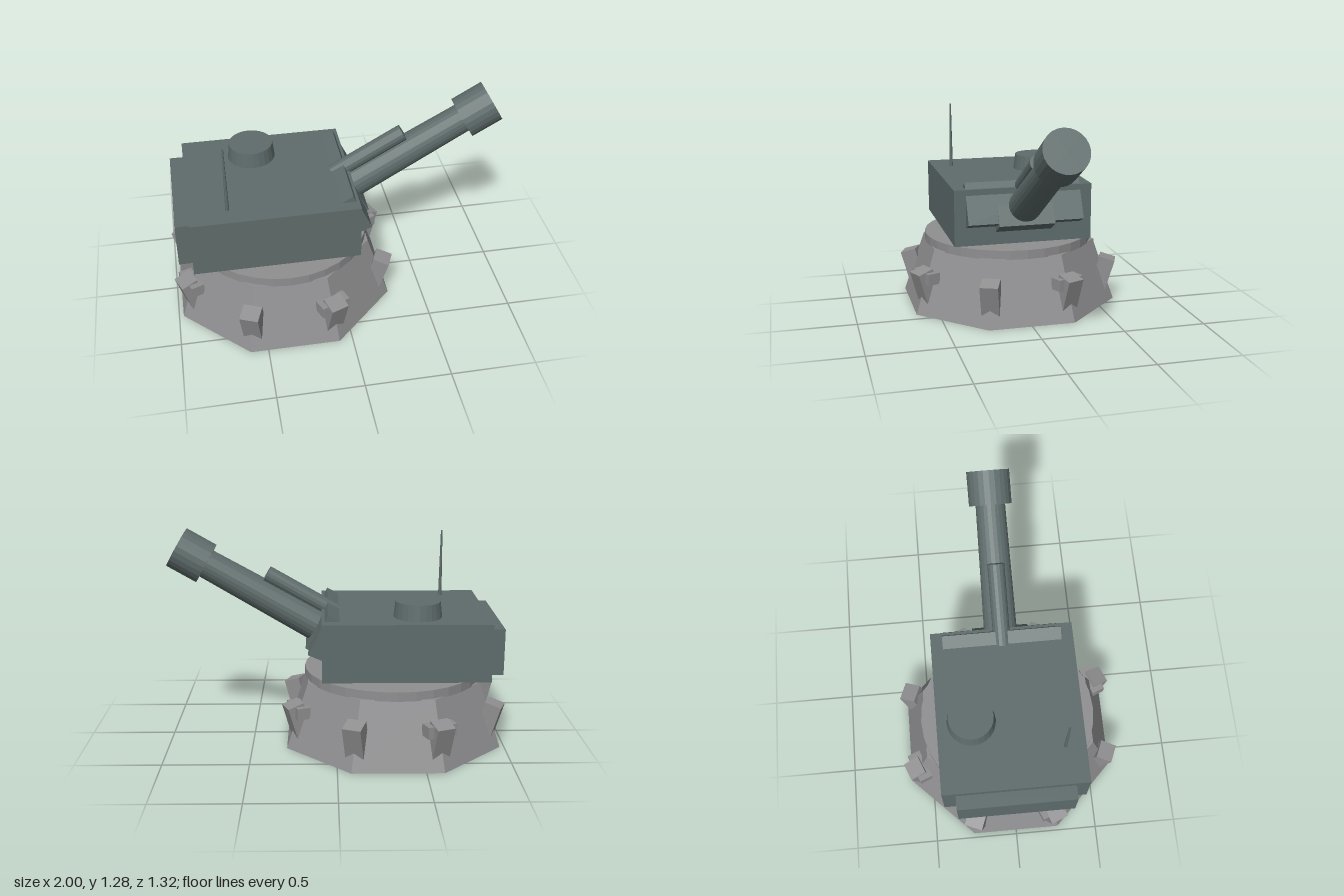
import * as THREE from 'three';

export function createModel() {
  const model = new THREE.Group();
  const concrete = new THREE.MeshStandardMaterial({ color: 0x8f8f91, flatShading: true });
  concrete.name = 'concrete grey';
  const armour = new THREE.MeshStandardMaterial({ color: 0x5e6c6b, flatShading: true });
  armour.name = 'armour green grey';

  const add = (name, geometry, material, x, y, z, parent = model) => {
    const mesh = new THREE.Mesh(geometry, material);
    mesh.name = name;
    mesh.position.set(x, y, z);
    parent.add(mesh);
    return mesh;
  };
  const box = (w, h, d) => new THREE.BoxGeometry(w, h, d);
  const cylinder = (top, bottom, h, sides) => new THREE.CylinderGeometry(top, bottom, h, sides);

  // Octagonal base with a round turret ring
  const base = new THREE.Group();
  base.name = 'base';
  base.position.x = -0.34;
  model.add(base);
  add('plinth', cylinder(0.55, 0.686, 0.39, 8).rotateY(Math.PI / 8), concrete, 0, 0.195, 0, base);
  add('turretRing', cylinder(0.527, 0.527, 0.055, 32), concrete, 0, 0.4125, 0, base);

  // Leaning buttress on each corner, every second one with a cross block
  for (let i = 0; i < 8; i++) {
    const corner = new THREE.Group();
    corner.name = 'corner' + (i + 1);
    corner.rotation.y = -Math.PI / 8 - i * Math.PI / 4;
    base.add(corner);
    const buttress = add('buttress', box(0.1, 0.22, 0.11), concrete, 0.615, 0.17, 0, corner);
    buttress.rotation.z = -0.285;
    if (i % 2 === 1) add('crossBlock', box(0.08, 0.07, 0.18), concrete, 0.61, 0.235, 0, corner);
  }

  // Turret body, rear stowage box, hatch and antenna
  add('turretBody', box(0.965, 0.34, 0.84), armour, -0.3975, 0.63, 0);
  add('rearBox', box(0.1, 0.27, 0.685), armour, -0.91, 0.615, 0);
  add('hatch', cylinder(0.13, 0.142, 0.1, 24), armour, -0.47, 0.843, -0.22);
  add('antenna', cylinder(0.005, 0.011, 0.42, 8), armour, -0.66, 1.0, 0.3);

  // Wedge-shaped gun mantlet, extruded across the turret
  const outline = new THREE.Shape([
    [-0.19, 0.452], [0.163, 0.605], [0.05, 0.837], [-0.2, 0.7],
  ].map(([x, y]) => new THREE.Vector2(x, y)));
  const wedge = new THREE.ExtrudeGeometry(outline, { depth: 0.7, bevelEnabled: false });
  add('mantlet', wedge, armour, 0, 0, -0.35);

  // Gun parts share one elevated frame: x runs along the barrel axis
  const gun = new THREE.Group();
  gun.name = 'gun';
  gun.position.set(0.12, 0.695, 0);
  gun.rotation.z = Math.PI / 6;
  model.add(gun);
  const along = (front, rear, length, sides) =>
    cylinder(front, rear, length, sides).rotateZ(-Math.PI / 2);
  add('gunCradle', box(0.22, 0.2, 0.34), armour, -0.11, -0.02, 0, gun);
  add('barrel', along(0.087, 0.102, 0.95, 24), armour, 0.275, 0, 0, gun);
  add('muzzle', along(0.126, 0.126, 0.198, 24), armour, 0.843, 0, 0, gun);
  add('recoilCylinder', along(0.05, 0.05, 0.48, 16), armour, 0.165, 0.124, 0, gun);

  return model;
}
